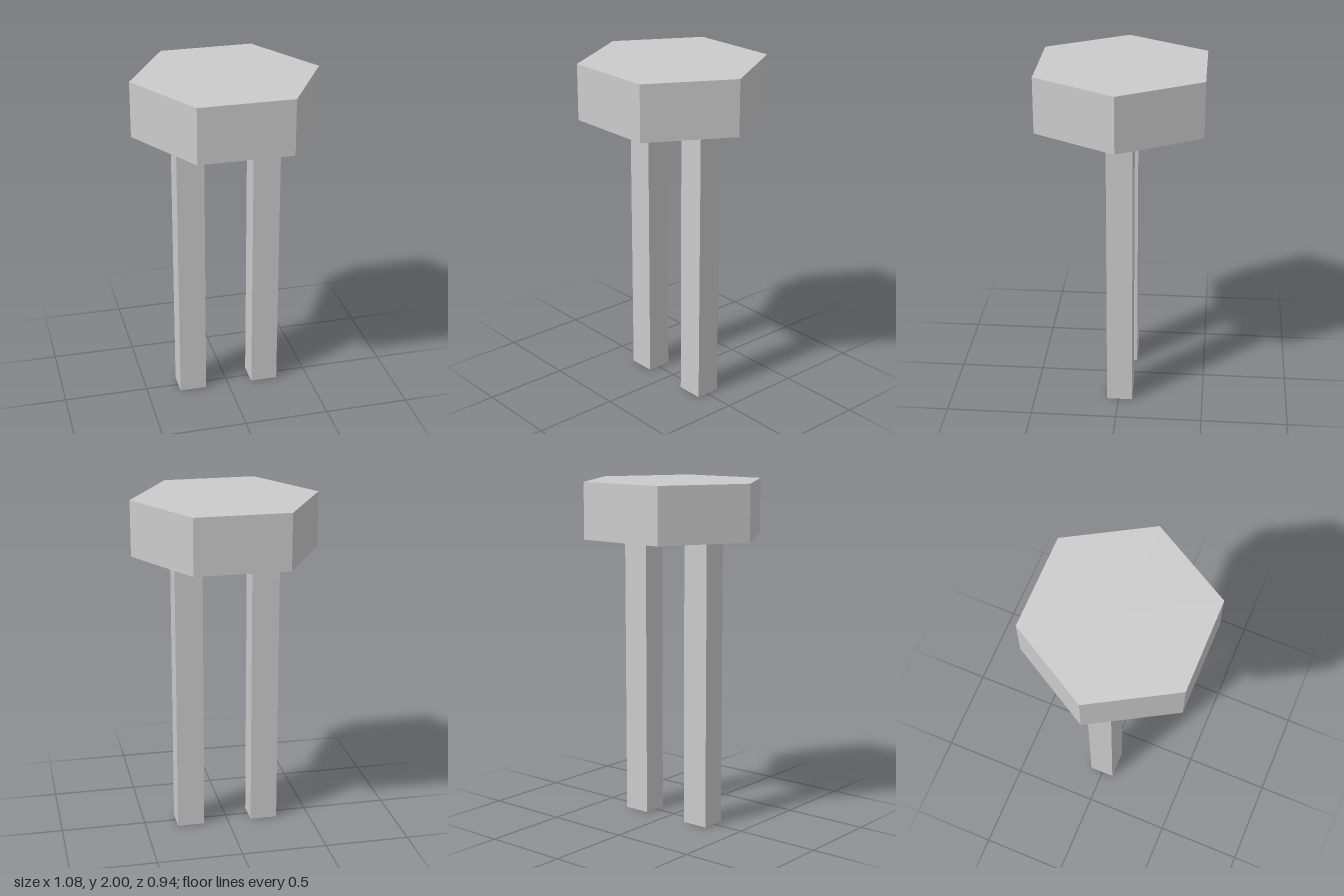
import * as THREE from 'three';

export function createModel() {
  const model = new THREE.Group();
  const solid = new THREE.MeshStandardMaterial({ color: 0xcccccc, flatShading: true });
  const thin = new THREE.MeshStandardMaterial({ color: 0xcccccc, flatShading: true, side: THREE.DoubleSide });

  const legHeight = 1.677;
  const topHeight = 2 - legHeight;

  // Hexagonal top with corners pointing along x
  const top = new THREE.Mesh(
    new THREE.CylinderGeometry(0.541, 0.541, topHeight, 6, 1, false, Math.PI / 2),
    solid
  );
  top.name = 'hexagonalTop';
  top.position.y = legHeight + topHeight / 2;
  model.add(top);

  // Square tube legs, open at both ends
  const legGeometry = new THREE.CylinderGeometry(Math.SQRT1_2, Math.SQRT1_2, 1, 4, 1, true, Math.PI / 4);
  legGeometry.scale(0.161, legHeight, 0.149);
  for (const [name, x] of [['rightLeg', -0.221], ['leftLeg', 0.228]]) {
    const leg = new THREE.Mesh(legGeometry, thin);
    leg.name = name;
    leg.position.set(x, legHeight / 2, -0.006);
    model.add(leg);
  }

  return model;
}
